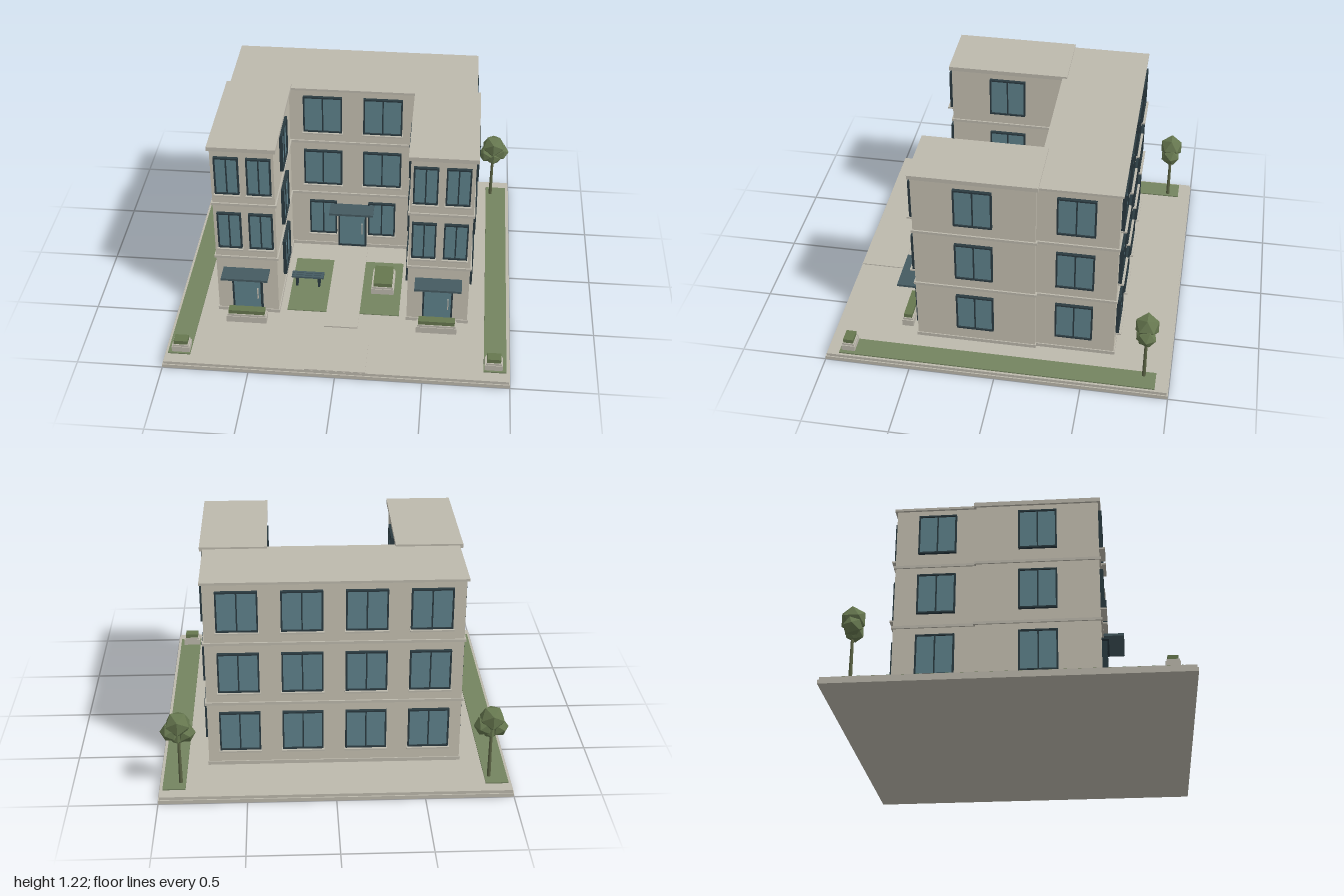
import * as THREE from 'three';

const mat = (name, color) => Object.assign(new THREE.MeshStandardMaterial({ color }), { name });

export function createModel() {
  const M = {
    wall: mat('warm wall', 0xc6c1b2),
    stone: mat('concrete', 0xbdb9ad),
    glass: mat('blue glass', 0x5f828c),
    frame: mat('dark frame', 0x2a3a40),
    canopy: mat('slate canopy', 0x455a61),
    lawn: mat('lawn green', 0x748460),
    leaf: mat('foliage green', 0x66774f),
    trunk: mat('trunk olive', 0x5b6344),
  };
  M.leaf.flatShading = true;

  const model = new THREE.Group();
  model.name = 'courtyardBuilding';

  const group = (name, parent = model) => {
    const g = new THREE.Group();
    g.name = name;
    parent.add(g);
    return g;
  };
  // Box given by its minimum and maximum corners
  const box = (parent, name, m, x0, x1, y0, y1, z0, z1) => {
    const mesh = new THREE.Mesh(new THREE.BoxGeometry(x1 - x0, y1 - y0, z1 - z0), m);
    mesh.position.set((x0 + x1) / 2, (y0 + y1) / 2, (z0 + z1) / 2);
    mesh.name = name;
    parent.add(mesh);
    return mesh;
  };

  // Ground slab, paths and lawns
  const site = group('site');
  box(site, 'lowerSlab', M.stone, -1, 1, 0, 0.022, -1, 1);
  box(site, 'upperSlab', M.stone, -0.993, 0.993, 0.022, 0.04, -0.993, 0.993);
  box(site, 'courtyardPath', M.stone, -0.1, 0.1, 0.04, 0.048, -0.18, 0.61);
  box(site, 'entrancePad', M.stone, -0.175, 0.175, 0.04, 0.046, 0.73, 0.992);
  for (const s of [-1, 1]) {
    const strip = box(site, 'sideLawn', M.lawn, -0.065, 0.065, 0.04, 0.047, -0.922, 0.922);
    strip.position.x = s * 0.914;
    const lawn = box(site, 'courtyardLawn', M.lawn, -0.119, 0.119, 0.04, 0.045, -0.03, 0.475);
    lawn.position.x = s * 0.218;
  }

  // Storey block with plinth, floor bands and roof slab
  const block = (name, x0, x1, z0, z1, top) => {
    const g = group(name);
    const ring = (n, m, y0, y1, o) => box(g, n, m, x0 - o, x1 + o, y0, y1, z0 - o, z1 + o);
    ring('walls', M.wall, 0.04, 1.19, 0);
    ring('plinth', M.stone, 0.04, 0.062, 0.006);
    for (const y of [0.445, 0.825]) ring('floorBand', M.stone, y - 0.008, y + 0.008, 0.009);
    ring('roof', M.stone, 1.19, top, 0.014);
  };
  block('mainBlock', -0.726, 0.726, -0.66, -0.198, 1.204);
  block('rightWing', -0.745, -0.384, -0.199, 0.498, 1.215);
  block('leftWing', 0.384, 0.745, -0.199, 0.498, 1.215);

  // Rectangular frame of four bars, standing on y = 0 against a wall at z = 0
  const surround = (g, w, h, t, d) => {
    for (const s of [-1, 1]) {
      const side = box(g, 'frameSide', M.frame, -t / 2, t / 2, 0, h, 0, d);
      side.position.x = s * (w - t) / 2;
    }
    box(g, 'frameTop', M.frame, -w / 2, w / 2, h - t, h, 0, d);
    box(g, 'frameBottom', M.frame, -w / 2, w / 2, 0, t, 0, d);
  };

  const windows = group('windows');
  const H = 0.245;
  const windowAt = (x, y, z, w, turn, sill) => {
    const g = group('window', windows);
    g.position.set(x, y, z);
    g.rotation.y = turn;
    surround(g, w, H, 0.009, 0.02);
    box(g, 'glass', M.glass, -w / 2 + 0.008, w / 2 - 0.008, 0.008, H - 0.008, 0.001, 0.01);
    box(g, 'mullion', M.frame, -0.004, 0.004, 0.008, H - 0.008, 0, 0.016);
    if (sill) box(g, 'sill', M.stone, -w / 2 - 0.005, w / 2 + 0.005, -0.009, 0.001, 0, 0.034);
  };
  [0.145, 0.523, 0.904].forEach((y, floor) => {
    // Back of the main block
    for (const x of [-0.54, -0.18, 0.18, 0.54]) windowAt(x, y, -0.66, 0.235, Math.PI, true);
    for (const s of [-1, 1]) {
      // Courtyard front of the main block, narrower beside the door
      windowAt(s * (floor ? 0.182 : 0.184), y, -0.198, floor ? 0.235 : 0.17, 0, true);
      // Outer sides and courtyard sides
      windowAt(s * 0.726, y, -0.422, 0.218, s * Math.PI / 2, false);
      windowAt(s * 0.745, y, 0.152, 0.218, s * Math.PI / 2, false);
      windowAt(s * 0.384, y, 0.152, 0.218, -s * Math.PI / 2, false);
      // Wing fronts above the doors
      if (floor) for (const x of [0.47, 0.653]) windowAt(s * x, y, 0.498, 0.14, 0, true);
    }
  });

  // Entrances with canopy and handle
  const doorAt = (x, z) => {
    const g = group('entrance');
    g.position.set(x, 0.06, z);
    surround(g, 0.178, 0.295, 0.01, 0.03);
    box(g, 'doorPanel', M.glass, -0.08, 0.08, 0.008, 0.287, 0, 0.022);
    box(g, 'handle', M.stone, 0.059, 0.065, 0.1, 0.175, 0.022, 0.036);
    box(g, 'canopyBeam', M.frame, -0.115, 0.115, 0.293, 0.302, 0, 0.04);
    box(g, 'canopy', M.canopy, -0.137, 0.137, 0.301, 0.315, 0.012, 0.124);
  };
  doorAt(0, -0.198);
  for (const s of [-1, 1]) doorAt(s * 0.565, 0.498);

  // Planters: stone trough, rim and clipped hedge
  const planter = (x, z, w, d) => {
    const g = group('planter');
    g.position.set(x, 0.04, z);
    box(g, 'trough', M.stone, -w / 2, w / 2, 0, 0.042, -d / 2, d / 2);
    box(g, 'rim', M.stone, -w / 2 + 0.006, w / 2 - 0.006, 0.042, 0.055, -d / 2 + 0.004, d / 2 - 0.004);
    box(g, 'hedge', M.leaf, -w / 2 + 0.012, w / 2 - 0.012, 0.055, 0.08, -d / 2 + 0.01, d / 2 - 0.01);
  };
  for (const s of [-1, 1]) {
    planter(s * 0.905, 0.872, 0.104, 0.078);
    planter(s * 0.565, 0.578, 0.24, 0.068);
  }
  planter(0.225, 0.186, 0.138, 0.195);

  // Slatted bench
  const bench = group('bench');
  for (const z of [0.202, 0.222, 0.242])
    box(bench, 'slat', M.canopy, -0.337, -0.14, 0.11, 0.121, z - 0.008, z + 0.008);
  for (const x of [-0.306, -0.17])
    box(bench, 'leg', M.frame, x - 0.007, x + 0.007, 0.04, 0.11, 0.198, 0.246);

  // Trees with faceted crowns
  for (const x of [-0.875, 0.878]) {
    const tree = group('tree');
    tree.position.set(x, 0.04, -0.852);
    const trunk = new THREE.Mesh(new THREE.CylinderGeometry(0.008, 0.011, 0.3, 8), M.trunk);
    trunk.position.y = 0.15;
    trunk.name = 'trunk';
    tree.add(trunk);
    for (const [cx, cy, cz, r] of [[0, 0.39, 0, 0.076], [-0.04, 0.33, 0.006, 0.057], [0.045, 0.345, -0.004, 0.058], [0.004, 0.315, 0.01, 0.056]]) {
      const crown = new THREE.Mesh(new THREE.IcosahedronGeometry(r, 0), M.leaf);
      crown.position.set(cx, cy, cz);
      crown.rotation.y = cx * 12;
      crown.name = 'crown';
      tree.add(crown);
    }
  }

  return model;
}
